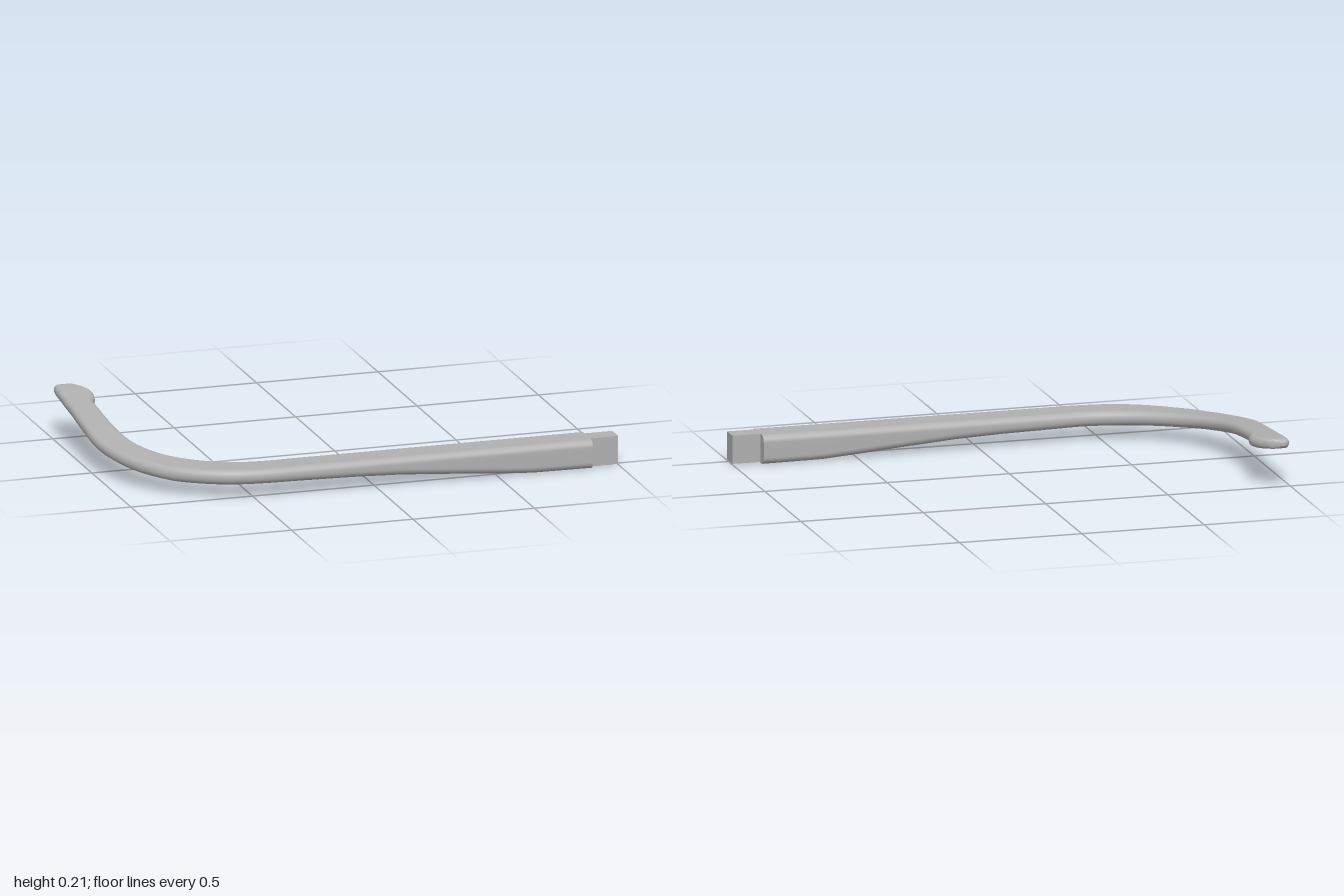
import * as THREE from 'three';

// piecewise-smooth lookup through [position, value] pairs in rising order
function lookup(table, p) {
  if (p <= table[0][0]) return table[0][1];
  for (let i = 1; i < table.length; i++) {
    const [a, va] = table[i - 1], [b, vb] = table[i];
    if (p <= b) return va + (vb - va) * (p - a) / (b - a);
  }
  return table[table.length - 1][1];
}

// heights: the arm climbs toward the back and deepens toward the joint
const TOP = [[-0.54, 0.208], [-0.3, 0.187], [-0.08, 0.165], [0.0, 0.153], [0.1, 0.14], [0.25, 0.125], [0.4, 0.117]];
const THICK = [[-0.54, 0.043], [-0.08, 0.048], [0.1, 0.051], [0.4, 0.06]];
const DROP = [[-0.4, 0], [-0.1, 0.006], [0.1, 0.014], [0.3, 0.029], [0.5, 0.045], [0.64, 0.055], [0.88, 0.057]];

// outer x, outer z, inner x, inner z, thickness factor
const STATIONS = [
  [0.885, 0.555, 0.885, 0.402, 1], [0.64, 0.555, 0.64, 0.402, 1],
  [0.4, 0.555, 0.4, 0.402, 1], [0.15, 0.555, 0.15, 0.402, 1],
  [-0.1, 0.555, -0.1, 0.402, 1], [-0.3, 0.555, -0.3, 0.402, 1],
  [-0.45, 0.553, -0.43, 0.402, 1], [-0.6, 0.527, -0.53, 0.388, 1],
  [-0.73, 0.464, -0.64, 0.342, 1], [-0.84, 0.37, -0.735, 0.27, 1],
  [-0.925, 0.245, -0.81, 0.175, 1], [-0.98, 0.1, -0.852, 0.075, 1],
  [-0.998, -0.02, -0.872, -0.03, 1], [-0.997, -0.15, -0.88, -0.15, 1],
  [-0.992, -0.28, -0.879, -0.28, 1], [-0.99, -0.36, -0.877, -0.362, 1],
  [-0.989, -0.4, -0.86, -0.397, 1], [-0.987, -0.45, -0.851, -0.45, 1],
  [-0.986, -0.5, -0.864, -0.5, 1], [-0.983, -0.535, -0.89, -0.535, 0.96],
  [-0.977, -0.552, -0.918, -0.552, 0.75], [-0.967, -0.561, -0.945, -0.561, 0.3],
];

// rounded rectangle in the unit square, counterclockwise
function ring(width, height) {
  const r = Math.min(0.028, height * 0.46, width * 0.46), n = 6, pts = [];
  [[1, 1], [0, 1], [0, 0], [1, 0]].forEach(([cu, cv], q) => {
    for (let i = 0; i <= n; i++) {
      const a = (q + i / n) * Math.PI / 2;
      pts.push([
        ((cu ? width - r : r) + r * Math.cos(a)) / width,
        ((cv ? height - r : r) + r * Math.sin(a)) / height,
      ]);
    }
  });
  return pts;
}

function armGeometry() {
  const outer = new THREE.CatmullRomCurve3(STATIONS.map(s => new THREE.Vector3(s[0], s[4], s[1])));
  const inner = new THREE.CatmullRomCurve3(STATIONS.map(s => new THREE.Vector3(s[2], s[4], s[3])));
  const steps = (STATIONS.length - 1) * 5, pos = [], index = [];
  let count = 0;
  for (let i = 0; i <= steps; i++) {
    const o = outer.getPoint(i / steps), n = inner.getPoint(i / steps);
    const mid = o.clone().lerp(n, 0.5), k = Math.min(1, mid.y);
    const height = (lookup(THICK, mid.z) + lookup(DROP, mid.x)) * k;
    const section = ring(Math.hypot(o.x - n.x, o.z - n.z), height);
    count = section.length;
    for (const [u, v] of section) {
      const x = o.x + (n.x - o.x) * u, z = o.z + (n.z - o.z) * u;
      const depth = lookup(THICK, z) + lookup(DROP, x);
      pos.push(x, lookup(TOP, z) - depth * (0.5 + (0.5 - v) * k), z);
    }
  }
  for (let i = 0; i < steps; i++) {
    for (let j = 0; j < count; j++) {
      const a = i * count + j, b = i * count + (j + 1) % count;
      index.push(a, a + count, b, b, a + count, b + count);
    }
  }
  // flat end caps on their own vertices
  for (const [start, flip] of [[0, false], [steps * count, true]]) {
    const base = pos.length / 3;
    pos.push(...pos.slice(start * 3, (start + count) * 3));
    for (let j = 1; j < count - 1; j++) {
      index.push(base, base + (flip ? j + 1 : j), base + (flip ? j : j + 1));
    }
  }
  const g = new THREE.BufferGeometry();
  g.setAttribute('position', new THREE.Float32BufferAttribute(pos, 3));
  g.setIndex(index);
  g.computeVertexNormals();
  return g;
}

export function createModel() {
  const group = new THREE.Group();
  group.name = 'curvedArm';
  const grey = new THREE.MeshStandardMaterial({ color: 0xb0b0b0 });
  grey.name = 'plain grey';

  const arm = new THREE.Mesh(armGeometry(), grey);
  arm.name = 'armRail';
  group.add(arm);

  // tenon at the joint end
  const tenon = new THREE.Mesh(new THREE.BoxGeometry(0.14, 0.114, 0.074), grey);
  tenon.name = 'tenon';
  tenon.position.set(0.93, 0.06, 0.483);
  group.add(tenon);
  return group;
}
